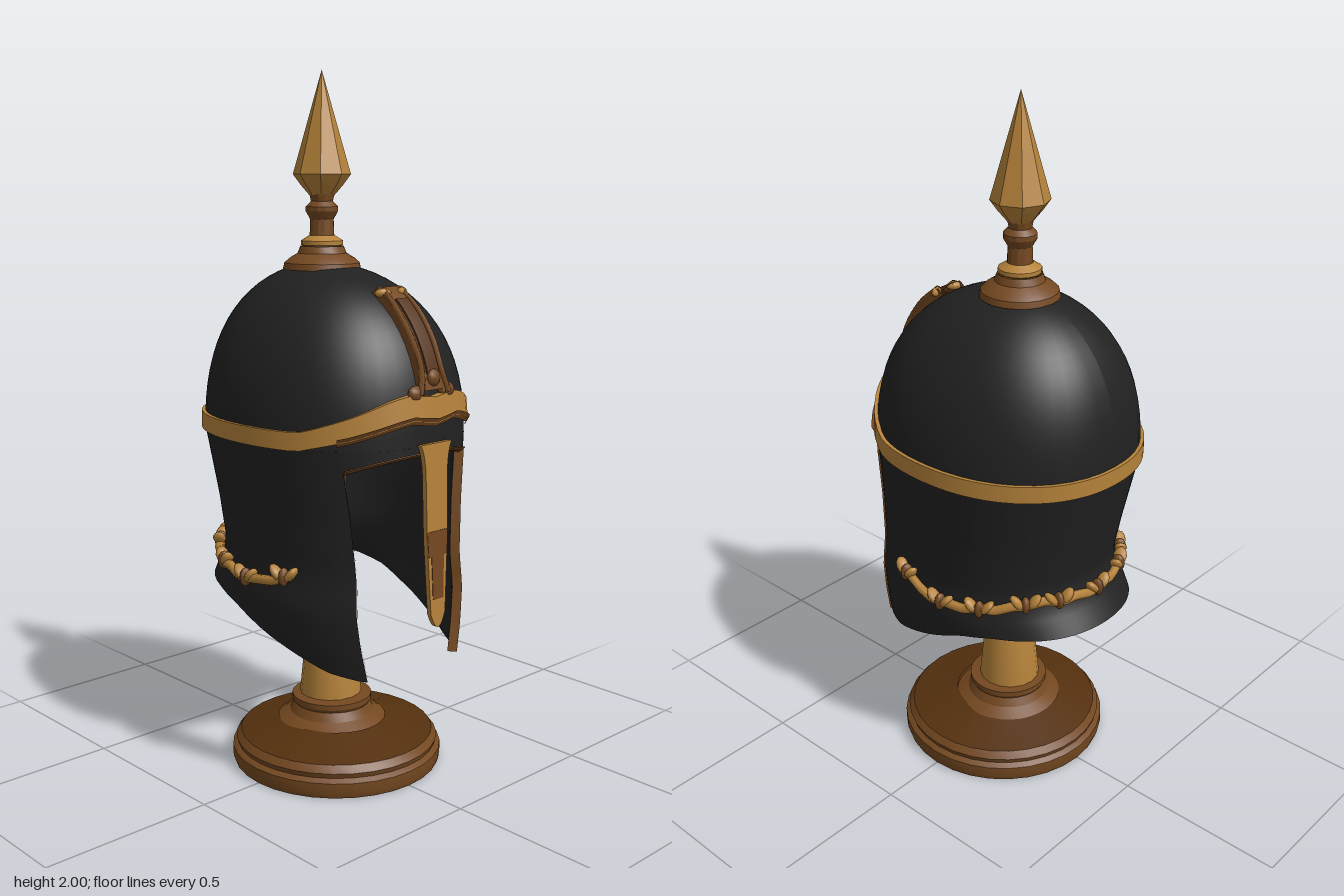
import * as THREE from 'three';
import { toCreasedNormals } from 'three/addons/utils/BufferGeometryUtils.js';
import { ParametricGeometry } from 'three/addons/geometries/ParametricGeometry.js';

const material = (name, color) => new THREE.MeshStandardMaterial({ name, color, side: THREE.DoubleSide });

// Linear interpolation through [input, output] pairs
function along(table, x) {
  if (x <= table[0][0]) return table[0][1];
  for (let i = 1; i < table.length; i++) {
    const [x0, y0] = table[i - 1], [x1, y1] = table[i];
    if (x <= x1) return y0 + (y1 - y0) * (x - x0) / (x1 - x0);
  }
  return table[table.length - 1][1];
}

// Helmet outline sizes below the brow, by height
const HALF_WIDTH = [[0.36, 0.265], [0.45, 0.29], [0.55, 0.305], [0.65, 0.292], [0.8, 0.305], [1, 0.335]];
const BACK_DEPTH = [[0.36, 0.385], [0.545, 0.388], [0.58, 0.365], [0.62, 0.337], [0.68, 0.32], [0.8, 0.345], [1, 0.39]];
const FRONT_DEPTH = [[0.36, 0.42], [1, 0.39]];
const EDGE_ANGLE = [[0.36, 0.7], [1, 0.77]];
const HEM = [[-0.4, 0.55], [-0.2, 0.535], [-0.1, 0.51], [0, 0.465], [0.1, 0.42], [0.2, 0.375], [0.28, 0.36]];
const BROW = 0.77;
const SQUARE = 0.92;
const browY = a => 0.985 - 0.04 * (a / BROW) ** 2;
const round = c => Math.sign(c) * Math.abs(c) ** SQUARE;

// Radii of the helmet at a height
function radii(y) {
  if (y < 1) return { rx: along(HALF_WIDTH, y), front: along(FRONT_DEPTH, y), back: along(BACK_DEPTH, y), zc: -0.015 };
  const t = Math.min((y - 1) / 0.47, 1);
  const f = Math.sqrt(Math.max(0, 1 - t ** 2.1)), fz = Math.sqrt(Math.max(0, 1 - t ** 2.6));
  return { rx: 0.335 * f, front: 0.39 * fz, back: 0.39 * fz, zc: -0.015 - 0.045 * (1 - f) };
}

// Point on the helmet: angle 0 is the front, off pushes outwards
function surface(a, y, off, target) {
  const r = radii(y), c = Math.cos(a);
  const rz = c > 0 ? r.front : r.back;
  return target.set(Math.max(0, r.rx + off) * round(Math.sin(a)), y, r.zc + Math.max(0, rz + off) * round(c));
}

// Point on the forehead at a given x
function forehead(x, y, off, target) {
  const a = Math.asin(Math.min(1, Math.abs(x) / radii(y).rx) ** (1 / SQUARE)) * Math.sign(x);
  surface(a, y, 0, target);
  target.z += off * 0.8;
  target.y += off * 0.6 * Math.max(0, (y - 1.1) / 0.3);
  return target;
}

export function createModel() {
  const group = new THREE.Group();
  const black = material('blackMetal', 0x212121);
  const gold = material('gold', 0xb5823a);
  const bronze = material('bronze', 0x744820);
  const brown = material('darkBrown', 0x54300e);

  const add = (name, geometry, mat, x = 0, y = 0, z = 0) => {
    const mesh = new THREE.Mesh(geometry, mat);
    mesh.name = name;
    mesh.position.set(x, y, z);
    group.add(mesh);
    return mesh;
  };
  const loft = (name, mat, fn, slices, stacks, crease) => {
    let g = new ParametricGeometry(fn, slices, stacks);
    g.computeVertexNormals();
    if (crease) g = toCreasedNormals(g, crease);
    return add(name, g, mat);
  };
  const turned = (name, mat, profile, z, sides = 32, crease = 0.5) => {
    const g = new THREE.LatheGeometry(profile.map(p => new THREE.Vector2(...p)), sides);
    return add(name, toCreasedNormals(g, crease), mat, 0, 0, z);
  };

  // Stand
  turned('standFoot', bronze, [[0.305, 0], [0.31, 0.015], [0.31, 0.045], [0.295, 0.055], [0.3, 0.07], [0.285, 0.09]], 0);
  turned('standUnderside', brown, [[0, 0], [0.305, 0]], 0);
  turned('standTop', brown, [[0.285, 0.09], [0.2, 0.11], [0.145, 0.125]], 0);
  turned('standCollar', bronze, [[0.16, 0.12], [0.125, 0.14], [0.112, 0.165], [0.118, 0.175], [0.118, 0.19], [0.085, 0.195]], -0.02);
  turned('standStem', gold, [[0.092, 0.19], [0.066, 0.46], [0.06, 0.475], [0, 0.475]], -0.025, 16);
  turned('standPost', bronze, [[0.046, 0.47], [0.046, 1.1], [0, 1.1]], -0.025, 16);

  // Dome and brow
  loft('dome', black, (u, v, p) => surface(Math.PI * (1 + 2 * u), 1 + 0.47 * Math.sin(v * Math.PI / 2), 0, p), 44, 18);
  loft('brow', black, (u, v, p) => {
    const a = (2 * u - 1) * BROW;
    return surface(a, 1 + (browY(a) - 1) * v, 0, p);
  }, 16, 2);

  // Neck guard and cheek plates: outer wall down, inner wall back up
  const hemY = u => along(HEM, -0.015 + 0.39 * round(Math.cos(Math.PI + u * (Math.PI - 0.7))));
  loft('neckAndCheekGuard', black, (uu, vv, p) => {
    const u = uu * 2 - 1, inner = vv > 0.501, v = inner ? 2 - 2 * vv : 2 * vv;
    const y = 1 + (hemY(u) - 1) * v;
    return surface(Math.PI + u * (Math.PI - along(EDGE_ANGLE, y)), y, inner ? -0.022 : 0, p);
  }, 64, 36, 0.9);

  // Trim round the face opening
  for (const s of [-1, 1]) {
    loft(s > 0 ? 'leftCheekTrim' : 'rightCheekTrim', bronze, (u, v, p) => {
      const y = 0.95 + (hemY(1) - 0.95) * v;
      surface(s * along(EDGE_ANGLE, y), y, 0.003 - 0.027 * u, p);
      p.z += 0.003;
      return p;
    }, 1, 16);
  }
  loft('browTrim', bronze, (u, v, p) => {
    const a = (2 * u - 1) * BROW;
    return surface(a, browY(a) - 0.012 * Math.sin(v * Math.PI), 0.006 - 0.035 * v, p);
  }, 16, 4);
  loft('innerLining', bronze, (u, v, p) => {
    const a = 0.95 + u * (2 * Math.PI - 1.9);
    return surface(a, 0.95 - 0.085 * Math.sin(u * Math.PI) + 0.02 * v, -0.028, p);
  }, 32, 1);

  // Band rising to a peak over the face
  const bandY = [[0, 1.1], [0.2, 1.11], [0.35, 1.1], [0.7, 1.06], [1.1, 1.022], [3.2, 1.022]];
  const bandHalf = [[0, 0.034], [0.4, 0.034], [1, 0.025], [3.2, 0.024]];
  loft('headBand', gold, (u, v, p) => {
    const a = Math.PI * (1 + 2 * u), d = Math.abs(a - 2 * Math.PI);
    const i = Math.round(v * 3), front = Math.max(0, 1 - d / 0.7);
    const h = along(bandHalf, d) * (i < 2 ? -1 : 1);
    return surface(a, along(bandY, d) + h, i === 0 || i === 3 ? -0.004 : 0.01 + 0.012 * front, p);
  }, 64, 3, 0.6);
  loft('bandLowerRim', bronze, (u, v, p) => {
    const a = (2 * u - 1) * 0.8, d = Math.abs(a);
    return surface(a, along(bandY, d) - along(bandHalf, d) + 0.012 - 0.022 * v, 0.016 + 0.012 * Math.max(0, 1 - d / 0.7) - 0.012 * v, p);
  }, 16, 1);

  // Nose guard with darker inlays
  const noseGroup = new THREE.Group();
  noseGroup.name = 'noseGuard';
  const shape = points => new THREE.Shape(points.map(p => new THREE.Vector2(...p)));
  const nose = new THREE.Shape();
  nose.moveTo(-0.06, 1.01);
  nose.quadraticCurveTo(-0.045, 0.985, -0.042, 0.93);
  nose.lineTo(-0.04, 0.75);
  nose.lineTo(-0.028, 0.54);
  nose.quadraticCurveTo(0, 0.46, 0.028, 0.54);
  nose.lineTo(0.04, 0.75);
  nose.lineTo(0.042, 0.93);
  nose.quadraticCurveTo(0.045, 0.985, 0.06, 1.01);
  const layers = [
    ['noseBar', nose, gold, 0.014, 0],
    ['noseInlay', shape([[-0.04, 0.77], [-0.036, 0.7], [0.036, 0.7], [0.04, 0.77]]), bronze, 0.003, 0.0125],
    ['noseLowerInlay', shape([[-0.024, 0.7], [-0.02, 0.58], [0.02, 0.58], [0.024, 0.7]]), bronze, 0.003, 0.0125],
  ];
  for (const [name, outline, mat, depth, z] of layers) {
    noseGroup.add(add(name, new THREE.ExtrudeGeometry(outline, { depth, bevelEnabled: false }), mat, 0, 0, z));
  }
  noseGroup.rotation.x = -0.03;
  noseGroup.position.z = 0.408;
  group.add(noseGroup);

  // Forehead ornament: raised plate, inset, rails, horns and knobs
  const plate = (name, mat, half, y0, y1, h) => loft(name, mat, (u, v, p) => {
    const i = Math.round(u * 5), x = [-1, -1, -0.6, 0.6, 1, 1][i] * half;
    return forehead(x, y0 + (y1 - y0) * v, i === 0 || i === 5 ? -0.005 : h, p);
  }, 5, 10, 0.5);
  plate('ornamentPlate', bronze, 0.045, 1.15, 1.4, 0.026);
  plate('ornamentInset', brown, 0.022, 1.19, 1.37, 0.032);
  const knob = new THREE.SphereGeometry(1, 8, 6);
  for (const s of [-1, 1]) {
    const rail = [1.14, 1.2, 1.27, 1.34, 1.395].map((y, i) =>
      forehead(s * [0.052, 0.037, 0.038, 0.038, 0.032][i], y, 0.026, new THREE.Vector3()));
    add('ornamentRail', new THREE.TubeGeometry(new THREE.CatmullRomCurve3(rail), 16, 0.009, 6), bronze);
    const horn = add('ornamentHorn', knob, gold, s * 0.036, 1.4, 0.222);
    horn.scale.set(0.024, 0.013, 0.014);
    horn.rotation.y = s * 0.5;
    const foot = forehead(s * 0.058, 1.145, 0.012, new THREE.Vector3());
    add('ornamentFoot', knob, bronze, foot.x, foot.y, foot.z).scale.set(0.03, 0.022, 0.016);
  }
  const boss = forehead(0, 1.18, 0.026, new THREE.Vector3());
  add('ornamentBoss', knob, bronze, boss.x, boss.y, boss.z).scale.set(0.024, 0.024, 0.014);

  // Garland round the neck guard
  const ropeY = [[1.28, 0.64], [1.4, 0.622], [1.58, 0.605], [1.95, 0.622], [2.5, 0.655], [3.15, 0.645]];
  const ropePoint = a => surface(a, along(ropeY, Math.min(a, 2 * Math.PI - a)), 0.014, new THREE.Vector3());
  const ropePoints = [];
  for (let i = 0; i <= 40; i++) {
    const p = ropePoint(1.28 + (2 * Math.PI - 2.56) * i / 40);
    p.y += 0.004 * Math.sin(i * 1.9);
    ropePoints.push(p);
  }
  add('garlandRope', new THREE.TubeGeometry(new THREE.CatmullRomCurve3(ropePoints), 100, 0.014, 6), gold);
  for (const a of [1.3, 1.62, 1.98, 2.4, 2.72, Math.PI, 3.56, 3.88, 4.3, 4.66, 4.98]) {
    const knot = new THREE.Group();
    knot.name = 'garlandKnot';
    for (const [dx, dy, tilt, mat] of [[0, 0, 0, bronze], [-0.024, 0.01, 0.7, gold], [0.024, 0.01, -0.7, gold]]) {
      const leaf = add('knotLeaf', knob, mat, dx, dy, 0);
      leaf.scale.set(0.013, 0.027, 0.02);
      leaf.rotation.z = tilt;
      knot.add(leaf);
    }
    knot.position.copy(ropePoint(a));
    knot.rotation.y = a;
    group.add(knot);
  }

  // Spike
  turned('spikeBase', bronze, [[0.112, 1.45], [0.108, 1.468], [0.095, 1.48], [0.07, 1.495], [0.062, 1.515]], -0.06, 20);
  turned('spikeRing', gold, [[0.045, 1.51], [0.06, 1.518], [0.06, 1.53], [0.036, 1.545]], -0.06, 16);
  turned('spikeNeck', bronze, [[0.036, 1.54], [0.034, 1.59], [0.047, 1.612], [0.047, 1.625], [0.032, 1.64], [0.036, 1.66]], -0.06, 12);
  turned('spikeFlare', gold, [[0.034, 1.655], [0.06, 1.685], [0.082, 1.715]], -0.06, 8, 0.1);
  turned('spikePoint', gold, [[0.082, 1.715], [0.076, 1.735], [0.0, 2.0]], -0.06, 8, 0.1);

  return group;
}
